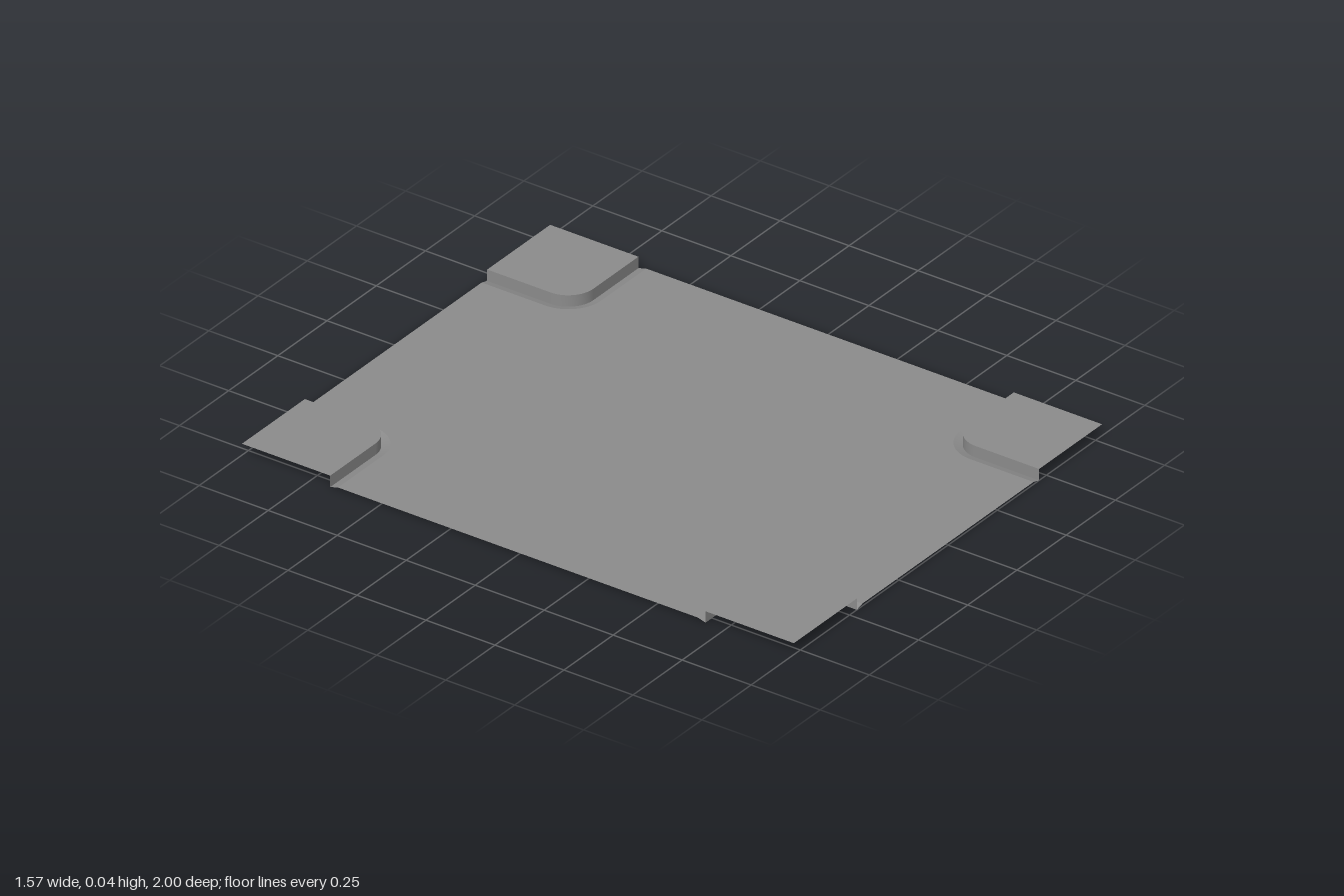
import * as THREE from 'three';

const HALF_X = 0.783, HALF_Z = 1;       // sheet half sizes
const EDGE_X = 0.463, EDGE_Z = 0.68;    // inner edges of the raised corners
const RADIUS = 0.09, GROOVE = 0.028;    // corner rounding, width of the sloped strip
const TOP = 0.039, FLOOR = 0.008;       // heights of corner pads and main sheet

// Rounded L-shaped edge of one corner, pushed inwards by d
function edgePath(sx, sz, d) {
  const r = RADIUS + d, cx = EDGE_X + RADIUS, cz = EDGE_Z + RADIUS;
  const pts = [[HALF_X, EDGE_Z - d]];
  for (let i = 0; i <= 12; i++) {
    const a = (i / 12) * Math.PI / 2;
    pts.push([cx - r * Math.sin(a), cz - r * Math.cos(a)]);
  }
  pts.push([EDGE_X - d, HALF_Z]);
  return pts.map(([x, z]) => new THREE.Vector2(sx * x, sz * z));
}

// Strip between two copies of the edge at different offsets and heights
function strip(sx, sz, [d0, y0], [d1, y1]) {
  const a = edgePath(sx, sz, d0), b = edgePath(sx, sz, d1);
  const pos = [], index = [];
  a.forEach((p, i) => {
    pos.push(p.x, y0, p.y, b[i].x, y1, b[i].y);
    if (i === 0) return;
    const k = 2 * i;
    if (sx * sz > 0) index.push(k - 2, k - 1, k, k - 1, k + 1, k);
    else index.push(k - 2, k, k - 1, k - 1, k, k + 1);
  });
  const g = new THREE.BufferGeometry();
  g.setAttribute('position', new THREE.Float32BufferAttribute(pos, 3));
  g.setIndex(index);
  g.computeVertexNormals();
  return g;
}

// Flat horizontal sheet from an (x, z) outline
function sheet(points, y) {
  const shape = new THREE.Shape(points.map(p => new THREE.Vector2(p.x, -p.y)));
  return new THREE.ShapeGeometry(shape).rotateX(-Math.PI / 2).translate(0, y, 0);
}

export function createModel() {
  const group = new THREE.Group();
  const material = new THREE.MeshStandardMaterial({ color: 0x8b8b8b, side: THREE.DoubleSide });
  const add = (geometry, name, parent = group) => {
    const mesh = new THREE.Mesh(geometry, material);
    mesh.name = name;
    parent.add(mesh);
  };

  const outline = [];
  const corners = [
    [1, 1, 'frontLeft'], [-1, 1, 'frontRight'], [-1, -1, 'backRight'], [1, -1, 'backLeft'],
  ];
  for (const [sx, sz, label] of corners) {
    const corner = new THREE.Group();
    corner.name = label + 'Corner';
    group.add(corner);

    // Raised pad, upright wall and the shallow slope down to its foot
    const pad = [...edgePath(sx, sz, 0), new THREE.Vector2(sx * HALF_X, sz * HALF_Z)];
    add(sheet(pad, TOP), 'pad', corner);
    add(strip(sx, sz, [0, TOP], [0, 0]), 'wall', corner);
    add(strip(sx, sz, [0, 0], [GROOVE, FLOOR]), 'footSlope', corner);

    // Collect the notched border of the main sheet
    const path = edgePath(sx, sz, GROOVE);
    outline.push(...(sx * sz > 0 ? path : path.reverse()));
  }

  add(sheet(outline, FLOOR), 'mainSheet');
  return group;
}
